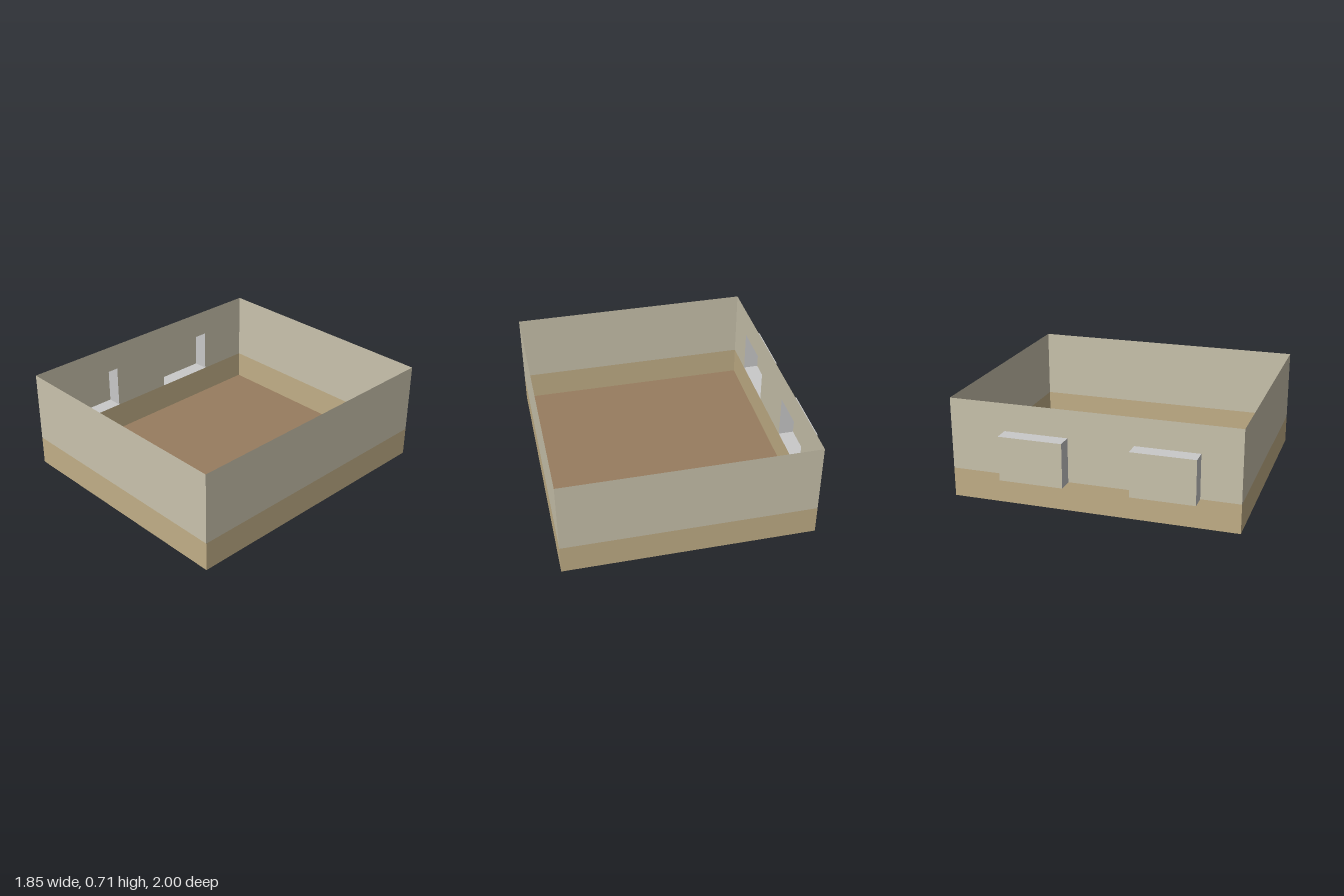
import * as THREE from 'three';

export function createModel() {
  const group = new THREE.Group();
  const material = (name, color) => {
    const m = new THREE.MeshStandardMaterial({ color, side: THREE.DoubleSide });
    m.name = name;
    return m;
  };
  const plaster = material('plaster', 0xcac3ad);
  const wainscot = material('wainscot', 0xc2af87);
  const flooring = material('flooring', 0x987d5f);
  const reveal = material('reveal', 0xc9c9c9);

  // Room extents
  const X0 = -0.815, X1 = 0.925, Z = 1, BAND = 0.205, TOP = 0.71;
  const CX = (X0 + X1) / 2, W = X1 - X0;
  // Niches in the side wall: z ranges, top and depth
  const niches = [[-0.61, -0.165], [0.29, 0.73]];
  const NICHE_TOP = 0.515, NICHE_X = -0.925;

  const add = (name, geometry, mat, pos, rot = [0, 0, 0], parent = group) => {
    const mesh = new THREE.Mesh(geometry, mat);
    mesh.name = name;
    mesh.position.set(...pos);
    mesh.rotation.set(...rot);
    parent.add(mesh);
    return mesh;
  };
  const sheet = (w, h) => new THREE.PlaneGeometry(w, h);
  const H = Math.PI / 2;

  // Floor
  add('floor', sheet(W, 2 * Z), flooring, [CX, 0, 0], [-H, 0, 0]);

  // Plain walls, each a lower band and an upper plaster sheet
  const bands = [['LowerWall', 0, BAND, wainscot], ['UpperWall', BAND, TOP, plaster]];
  for (const [suffix, y0, y1, mat] of bands) {
    const y = (y0 + y1) / 2, h = y1 - y0;
    add('front' + suffix, sheet(W, h), mat, [CX, y, Z]);
    add('back' + suffix, sheet(W, h), mat, [CX, y, -Z], [0, Math.PI, 0]);
    add('left' + suffix, sheet(2 * Z, h), mat, [X1, y, 0], [0, H, 0]);
  }

  // Niche wall: lower band, and an upper sheet notched for the openings
  add('rightLowerWall', sheet(2 * Z, BAND), wainscot, [X0, BAND / 2, 0], [0, -H, 0]);
  const outline = new THREE.Shape().moveTo(-Z, TOP).lineTo(-Z, BAND);
  for (const [a, b] of niches) {
    outline.lineTo(a, BAND).lineTo(a, NICHE_TOP).lineTo(b, NICHE_TOP).lineTo(b, BAND);
  }
  outline.lineTo(Z, BAND).lineTo(Z, TOP);
  add('rightUpperWall', new THREE.ShapeGeometry(outline), plaster, [X0, 0, 0], [0, -H, 0]);

  // Niches: grey reveals around a plaster back, open to the room
  for (const [a, b] of niches) {
    const niche = new THREE.Group();
    niche.name = 'niche';
    group.add(niche);
    const d = X0 - NICHE_X, cx = (X0 + NICHE_X) / 2;
    const h = NICHE_TOP - BAND, cy = (NICHE_TOP + BAND) / 2;
    const w = b - a, cz = (a + b) / 2;
    add('nicheBack', sheet(w, h), plaster, [NICHE_X, cy, cz], [0, -H, 0], niche);
    add('nicheTop', sheet(d, w), reveal, [cx, NICHE_TOP, cz], [-H, 0, 0], niche);
    add('nicheSill', sheet(d, w), reveal, [cx, BAND, cz], [H, 0, 0], niche);
    add('nicheFrontSide', sheet(d, h), reveal, [cx, cy, b], [0, 0, 0], niche);
    add('nicheBackSide', sheet(d, h), reveal, [cx, cy, a], [0, Math.PI, 0], niche);
  }
  return group;
}
